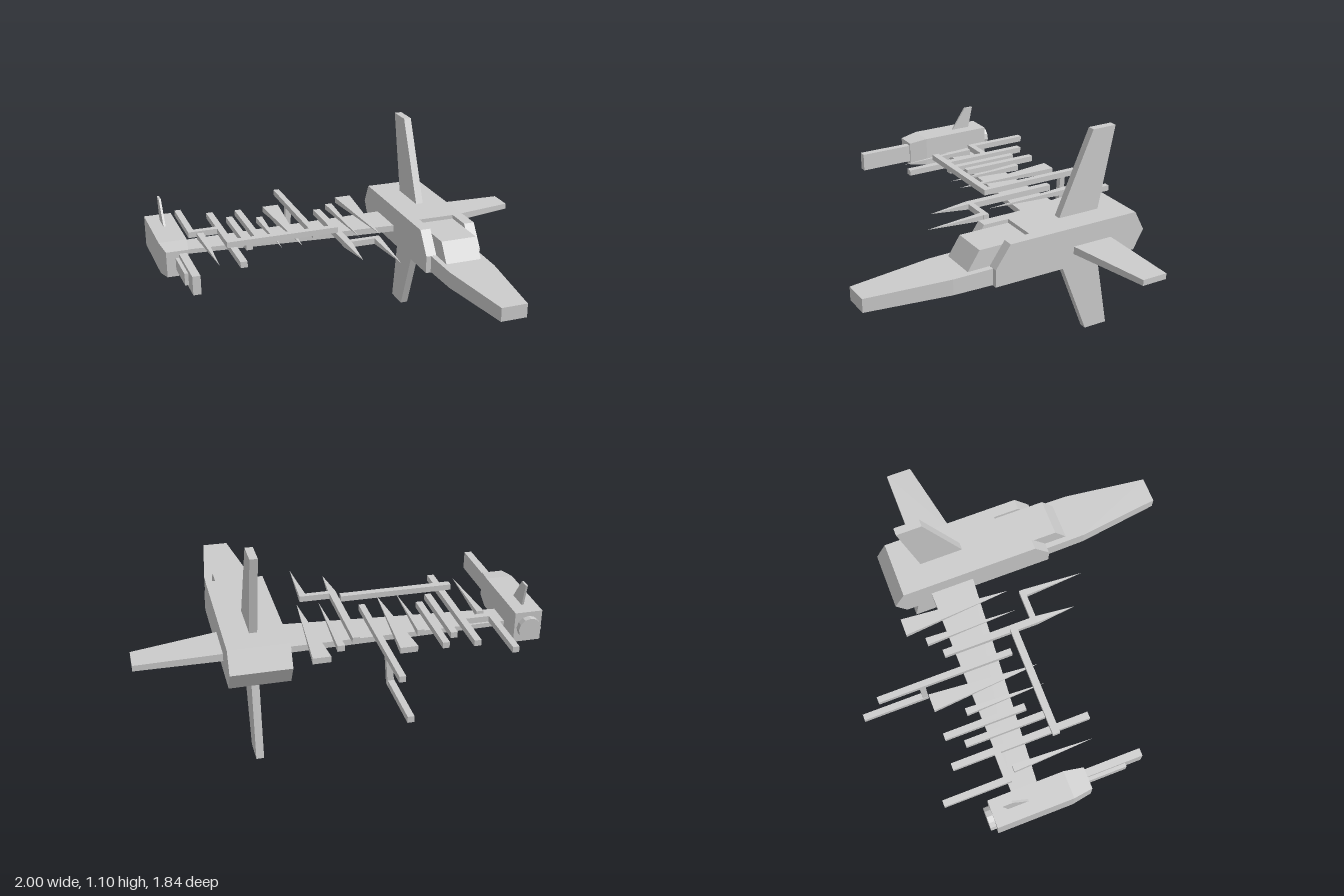
import * as THREE from 'three';
import { ConvexGeometry } from 'three/addons/geometries/ConvexGeometry.js';

const grey = new THREE.MeshStandardMaterial({ color: 0xcccccc, flatShading: true });

export function createModel() {
  const model = new THREE.Group();
  model.name = 'asymmetricFighter';

  const add = (name, geometry, parent = model) => {
    const mesh = new THREE.Mesh(geometry, grey);
    mesh.name = name;
    parent.add(mesh);
    return mesh;
  };
  // Solid through a few convex corner points
  const hull = (name, pts, parent) =>
    add(name, new ConvexGeometry(pts.map(p => new THREE.Vector3(...p))), parent);
  // Side profile of [z, y] points, extended from x0 to x1
  const prism = (name, profile, x0, x1, parent) =>
    hull(name, [x0, x1].flatMap(x => profile.map(([z, y]) => [x, y, z])), parent);
  // Rectangular sections [z, x0, x1, y0, y1] joined along z
  const loft = (name, sections, parent) =>
    hull(name, sections.flatMap(([z, x0, x1, y0, y1]) =>
      [[x0, y0, z], [x1, y0, z], [x1, y1, z], [x0, y1, z]]), parent);
  // Box given by its limits
  const block = (name, x0, x1, y0, y1, z0, z1, parent) => {
    const mesh = add(name, new THREE.BoxGeometry(x1 - x0, y1 - y0, z1 - z0), parent);
    mesh.position.set((x0 + x1) / 2, (y0 + y1) / 2, (z0 + z1) / 2);
    return mesh;
  };

  // Fuselage: wedge-tailed hull, two cheeks beside the canopy, tapered nose
  const fuselage = new THREE.Group();
  fuselage.name = 'fuselage';
  model.add(fuselage);
  prism('mainHull', [[0.065, 0.465], [0.065, 0.67], [-0.52, 0.67], [-0.575, 0.565], [-0.52, 0.465]],
    0.27, 0.57, fuselage);
  for (const [x0, x1] of [[0.27, 0.325], [0.515, 0.57]]) {
    prism('cheek', [[0.065, 0.465], [0.28, 0.465], [0.28, 0.555], [0.2, 0.67], [0.065, 0.67]],
      x0, x1, fuselage);
  }
  prism('canopy', [[0.065, 0.465], [0.28, 0.465], [0.4, 0.55], [0.335, 0.65], [0.065, 0.65]],
    0.325, 0.515, fuselage);
  loft('nose', [
    [0.2, 0.295, 0.547, 0.467, 0.555],
    [0.49, 0.299, 0.543, 0.47, 0.552],
    [0.92, 0.355, 0.49, 0.475, 0.545],
  ], fuselage);

  // Swept fins above and below
  for (const [name, root, tip] of [['upperFin', 0.66, 1.095], ['lowerFin', 0.475, 0]]) {
    prism(name, [[-0.15, root], [-0.38, root], [-0.467, tip], [-0.337, tip]], 0.403, 0.442);
  }

  // Wings: short one on the left, long boom wing out to the pod on the right
  const wing = (name, rootX, tipX, root, tip) => hull(name,
    [[rootX, ...root], [tipX, ...tip]].flatMap(([x, zf, zb, y0, y1]) =>
      [[x, y0, zf], [x, y1, zf], [x, y0, zb], [x, y1, zb]]));
  wing('shortWing', 0.56, 1, [-0.155, -0.375, 0.53, 0.57], [-0.243, -0.375, 0.533, 0.563]);
  wing('longWing', 0.28, -0.87, [-0.147, -0.377, 0.533, 0.567], [-0.23, -0.362, 0.537, 0.56]);

  // Outboard pod with guns, nozzle and small fin
  const pod = new THREE.Group();
  pod.name = 'pod';
  model.add(pod);
  loft('podBody', [
    [-0.49, -1, -0.86, 0.51, 0.67],
    [-0.1, -1, -0.86, 0.51, 0.67],
    [0, -0.985, -0.875, 0.525, 0.655],
  ], pod);
  block('largeGun', -0.922, -0.883, 0.545, 0.64, -0.02, 0.29, pod);
  block('smallGun', -0.94, -0.922, 0.56, 0.62, -0.02, 0.2, pod);
  const nozzle = add('nozzle', new THREE.CylinderGeometry(0.058, 0.058, 0.04, 12), pod);
  nozzle.rotation.x = Math.PI / 2;
  nozzle.position.set(-0.93, 0.59, -0.5);
  prism('podFin', [[-0.3, 0.66], [-0.41, 0.66], [-0.44, 0.79], [-0.39, 0.79]], -0.934, -0.923, pod);

  // Aerial array above the long wing
  const array = new THREE.Group();
  array.name = 'aerialArray';
  model.add(array);
  const Y0 = 0.575, Y1 = 0.606;
  // Plain rods [x0, x1, z0, z1]
  for (const [x0, x1, z0, z1] of [
    [-0.803, -0.77, -0.69, -0.345], [-0.803, -0.64, -0.375, -0.342],
    [-0.65, -0.615, -0.59, 0.13], [-0.565, -0.531, -0.49, -0.075],
    [-0.495, -0.461, -0.575, -0.147], [-0.2, -0.168, -0.82, -0.107],
    [-0.09, -0.053, -0.43, 0.072], [-0.09, 0.105, 0.045, 0.075],
  ]) block('rod', x0, x1, Y0, Y1, z0, z1, array);
  // Pointed spikes [x0, x1, base z, tip z]
  for (const [x0, x1, zb, zt] of [
    [-0.765, -0.728, -0.315, 0.105], [-0.415, -0.38, -0.43, -0.005],
    [-0.337, -0.248, -0.575, -0.005], [0, 0.038, -0.49, -0.005],
    [0.088, 0.178, -0.575, -0.005], [-0.09, -0.053, 0.07, 0.285],
    [0.07, 0.105, 0.07, 0.39],
  ]) {
    hull('spike', [[x0, Y0, zb], [x1, Y0, zb], [x1, Y1, zb], [x0, Y1, zb],
      [(x0 + x1) / 2, (Y0 + Y1) / 2, zt]], array);
  }
  block('crossBeam', -0.672, -0.085, 0.617, 0.647, -0.077, -0.04, array);
  // Hanging hook: slanted drop and lower rod
  hull('hookDrop', [-0.605, -0.575].flatMap(z =>
    [[-0.2, Y1, z], [-0.168, Y1, z], [-0.182, 0.42, z], [-0.214, 0.42, z]]), array);
  block('hookRod', -0.214, -0.182, 0.42, 0.452, -0.92, -0.575, array);

  return model;
}
